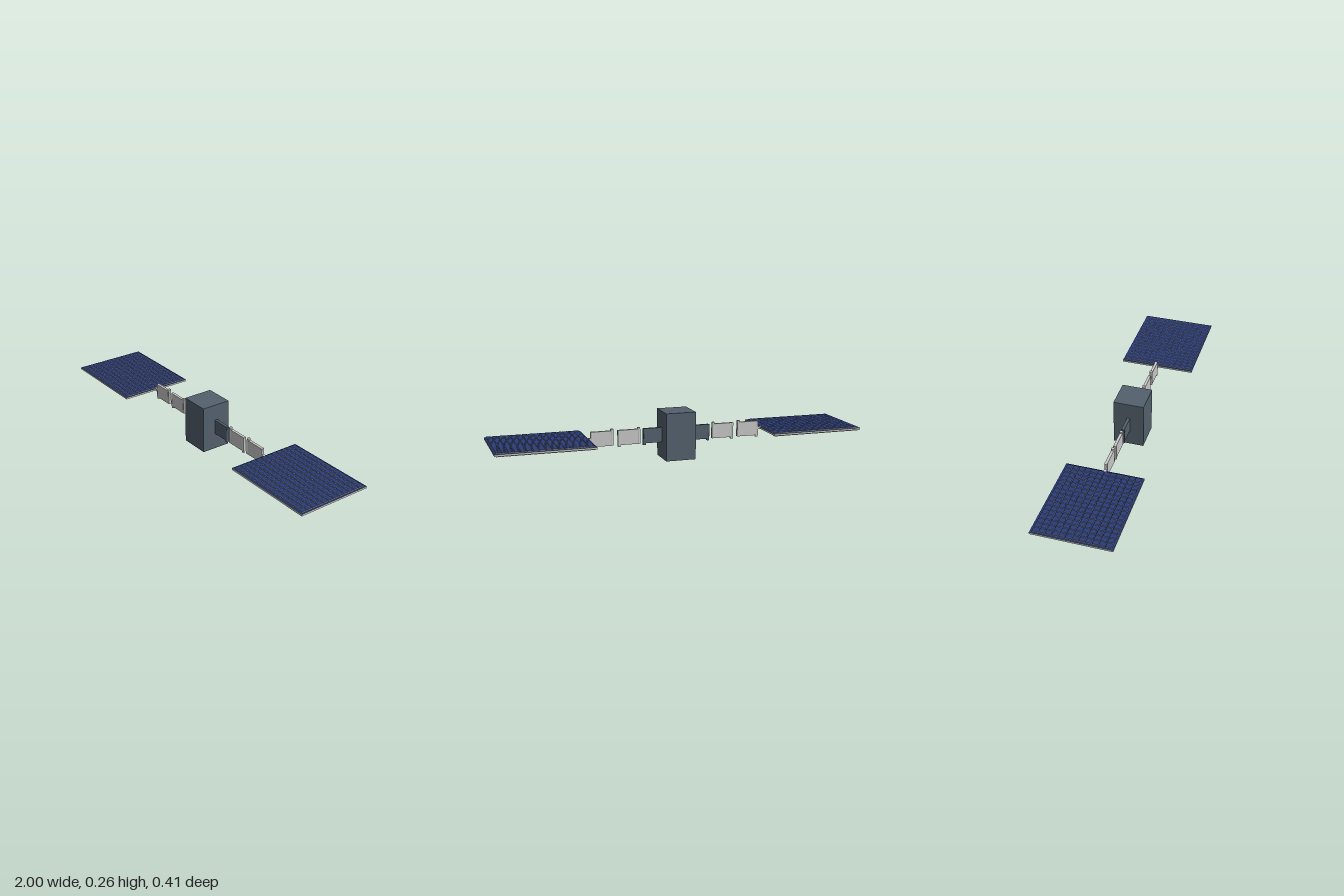
import * as THREE from 'three';
import { mergeGeometries } from 'three/addons/utils/BufferGeometryUtils.js';

const MID = 0.13; // height of the wing axis

export function createModel() {
  const slate = new THREE.MeshStandardMaterial({ name: 'slate', color: 0x53606c });
  const silver = new THREE.MeshStandardMaterial({ name: 'silver', color: 0xc8c8c8 });
  const blue = new THREE.MeshStandardMaterial({ name: 'panelBlue', color: 0x2a3b78 });

  const model = new THREE.Group();
  model.name = 'satellite';

  const add = (parent, name, geometry, material, x, y, z = 0) => {
    const mesh = new THREE.Mesh(geometry, material);
    mesh.name = name;
    mesh.position.set(x, y, z);
    parent.add(mesh);
    return mesh;
  };

  // silver sides, blue top and bottom
  const panelMaterials = [silver, silver, blue, blue, silver, silver];

  // one raised field of solar cells, split into side faces and top/bottom faces
  function cellField(columns, rows, width, depth, gap, height) {
    const sides = [], faces = [];
    const px = width / columns, pz = depth / rows;
    for (let i = 0; i < columns; i++) {
      for (let j = 0; j < rows; j++) {
        const box = new THREE.BoxGeometry(px - gap, height, pz - gap);
        box.translate((i + 0.5) * px - width / 2, 0, (j + 0.5) * pz - depth / 2);
        const index = Array.from(box.index.array);
        const top = box.clone();
        top.setIndex(index.slice(12, 24));
        box.setIndex([...index.slice(0, 12), ...index.slice(24)]);
        top.clearGroups();
        box.clearGroups();
        faces.push(top);
        sides.push(box);
      }
    }
    return { sides: mergeGeometries(sides), faces: mergeGeometries(faces) };
  }

  // central body
  add(model, 'body', new THREE.BoxGeometry(0.165, 0.258, 0.165), slate, 0, 0.129);

  const cells = cellField(16, 12, 0.5, 0.392, 0.003, 0.02);
  const pin = new THREE.CylinderGeometry(0.009, 0.009, 0.088, 12);

  for (const side of [1, -1]) {
    const wing = new THREE.Group();
    wing.name = side > 0 ? 'leftWing' : 'rightWing';
    model.add(wing);

    // root bracket
    add(wing, 'rootBracket', new THREE.BoxGeometry(0.11, 0.08, 0.016), slate, side * 0.13, MID);
    add(wing, 'rootHinge', pin, slate, side * 0.18, MID - 0.005);

    // two hinged arm plates, pins high inside and low outside
    for (const x of [0.265, 0.412]) {
      add(wing, 'armPlate', new THREE.BoxGeometry(0.123, 0.08, 0.015), silver, side * x, MID);
      add(wing, 'innerHinge', pin, silver, side * (x - 0.054), MID + 0.005);
      add(wing, 'outerHinge', pin, silver, side * (x + 0.054), MID - 0.005);
    }

    // solar panel with raised cells on both faces
    const panelX = side * 0.7425;
    add(wing, 'panelBase', new THREE.BoxGeometry(0.515, 0.01, 0.41), panelMaterials, panelX, MID);
    add(wing, 'cellEdges', cells.sides, silver, panelX, MID);
    add(wing, 'cellFaces', cells.faces, blue, panelX, MID);
    add(wing, 'panelJoint', new THREE.BoxGeometry(0.03, 0.014, 0.015), silver, side * 0.48, MID);
  }
  return model;
}
